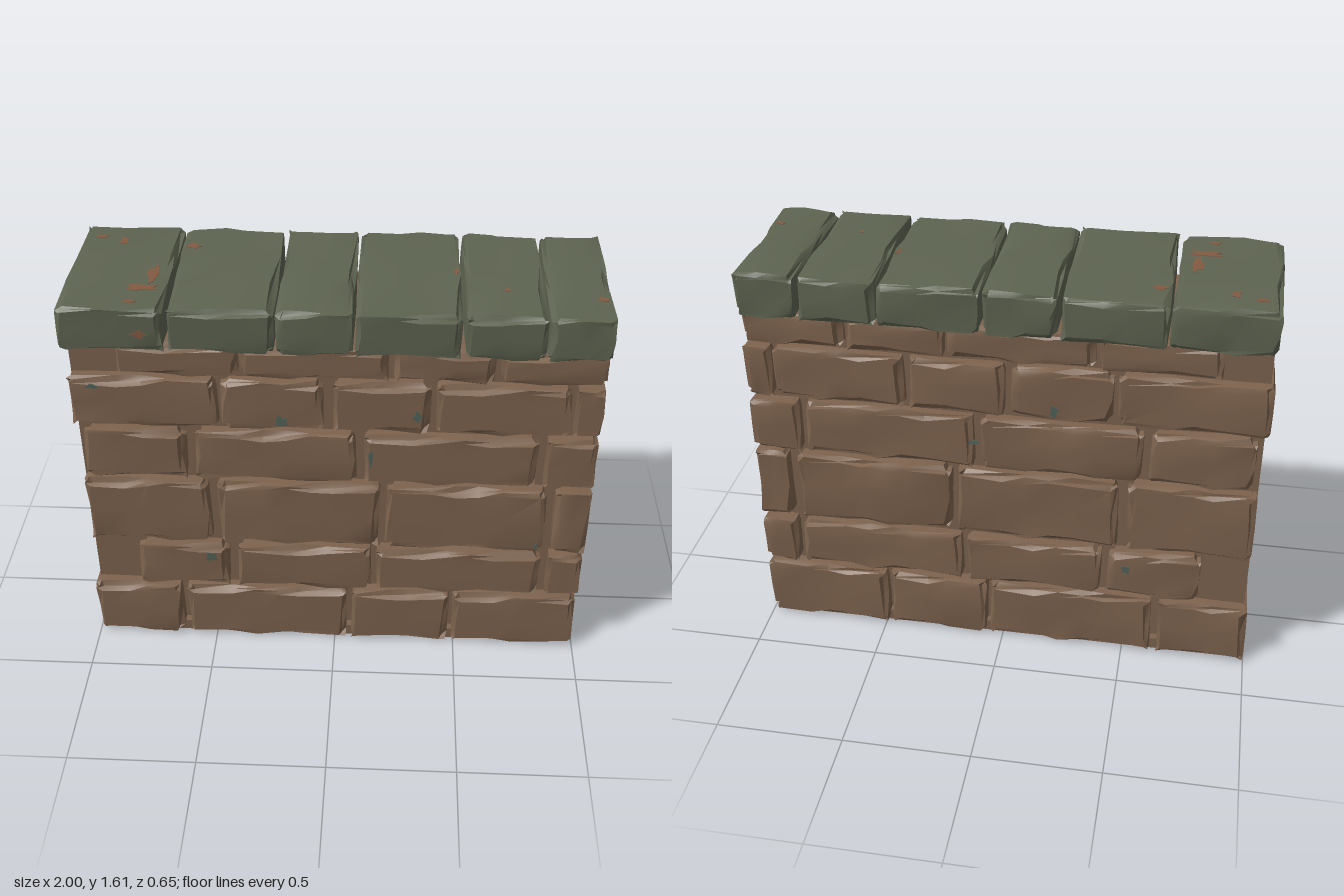
import * as THREE from 'three';
import { toCreasedNormals } from 'three/addons/utils/BufferGeometryUtils.js';

const material = (name, color) => new THREE.MeshStandardMaterial({ name, color });

// Rough-hewn block: chamfered box with chipped edges and gently uneven faces.
function stoneGeometry(x0, x1, y0, y1, depth, seed, chamfer) {
  const size = [x1 - x0, y1 - y0, depth];
  const segs = [Math.max(5, Math.round(size[0] / 0.09)), 4, 6];
  const g = new THREE.BoxGeometry(...size, ...segs);
  const p = g.attributes.position;
  for (let i = 0; i < p.count; i++) {
    const v = [p.getX(i), p.getY(i), p.getZ(i)];
    const base = v.slice();
    const atEnd = v.map((c, k) => Math.abs(Math.abs(c) - size[k] / 2) < 1e-4);
    const onEdge = atEnd.filter(Boolean).length > 1;
    const wave = (a, b, c) => Math.sin(base[0] * a + base[1] * b + base[2] * c + seed * 2.37);
    for (let k = 0; k < 3; k++) {
      const half = size[k] / 2, sign = Math.sign(base[k]);
      const step = size[k] / segs[k];
      if (atEnd[k]) {
        // pull edges in by a varying amount, faces only slightly
        const pull = onEdge
          ? chamfer * (0.6 + 0.4 * wave(17 + k, 23, 14 - k))
          : 0.004 + 0.004 * wave(9, 13 + k, 8);
        v[k] = sign * (half - pull);
      } else if (Math.abs(Math.abs(base[k]) - (half - step)) < 1e-4) {
        v[k] = sign * (half - chamfer * (1.1 + 0.3 * wave(21, 15, 19 + k)));
      }
    }
    p.setXYZ(i, v[0] + (x0 + x1) / 2, v[1] + (y0 + y1) / 2, v[2]);
  }
  return toCreasedNormals(g, 0.5);
}

// Irregular thin patch outline
function patchGeometry(w, h, seed) {
  const pts = [];
  for (let i = 0; i < 10; i++) {
    const a = i / 10 * Math.PI * 2, r = 0.75 + 0.25 * Math.sin(i * 2.3 + seed * 1.9);
    pts.push(new THREE.Vector2(Math.cos(a) * w * r, Math.sin(a) * h * r));
  }
  const g = new THREE.ExtrudeGeometry(new THREE.Shape(pts), { depth: 0.006, bevelEnabled: false });
  return g.translate(0, 0, -0.004);
}

export function createModel() {
  const model = new THREE.Group();
  model.name = 'stoneWall';
  const brown = material('brownStone', 0x7d634e);
  const green = material('mossyGreenStone', 0x5e6451);
  const rust = material('rustStain', 0x845a42);
  const teal = material('tealLichen', 0x51645a);
  const stones = [];
  const add = (name, geometry, mat) => {
    const mesh = new THREE.Mesh(geometry, mat);
    mesh.name = name;
    model.add(mesh);
    return mesh;
  };

  // Solid core behind the joints
  add('wallCore', new THREE.BoxGeometry(1.965, 1.44, 0.5).translate(0, 0.72, 0), brown);
  add('wallFoot', new THREE.BoxGeometry(1.965, 0.05, 0.56).translate(0, 0.025, 0), brown);

  // Courses: bottom, top, depth, then start and end of each stone along x
  const courses = [
    [0.005, 0.27, 0.63, [[-1, -0.635], [-0.615, 0.055], [0.065, 0.475], [0.485, 1]]],
    [0.28, 0.495, 0.625, [[-0.8, -0.425], [-0.4, 0.15], [0.165, 0.835], [0.855, 1]]],
    [0.515, 0.82, 0.625, [[-0.985, -0.49], [-0.46, 0.18], [0.2, 0.83], [0.86, 1]]],
    [0.83, 1.06, 0.61, [[-0.965, -0.565], [-0.54, 0.085], [0.11, 0.78], [0.8, 1]]],
    [1.075, 1.295, 0.61, [[-1, -0.435], [-0.425, -0.035], [-0.01, 0.36], [0.375, 0.885], [0.89, 1]]],
    [1.305, 1.445, 0.605, [[-0.81, -0.355], [-0.35, 0.205], [0.215, 0.59], [0.6, 0.995]]],
  ];
  let seed = 1;
  courses.forEach(([y0, y1, depth, spans], row) => {
    for (const [x0, x1] of spans) {
      const wide = x1 - x0 > 0.2;
      stones.push(add(`courseStone${row + 1}`,
        stoneGeometry(x0, x1, y0, y1, depth, seed++, wide ? 0.026 : 0.02), brown));
    }
  });

  // Row of cap stones
  const caps = [[-1, -0.61], [-0.605, -0.215], [-0.21, 0.07], [0.075, 0.46], [0.465, 0.76], [0.765, 1]];
  for (const [x0, x1] of caps) {
    stones.push(add('capStone', stoneGeometry(x0, x1, 1.425, 1.604, 0.65, seed++, 0.022), green));
  }

  // Stains laid on whichever stone surface lies under them
  const ray = new THREE.Raycaster();
  const stain = (name, mat, from, dir, w, h) => {
    ray.set(new THREE.Vector3(...from), new THREE.Vector3(...dir));
    const hit = ray.intersectObjects(stones)[0];
    if (!hit) return;
    const mesh = add(name, patchGeometry(w, h, seed++), mat);
    mesh.position.copy(hit.point);
    mesh.quaternion.setFromUnitVectors(new THREE.Vector3(0, 0, 1), hit.face.normal);
  };
  const topStains = [
    [-0.92, -0.22, 0.035, 0.015], [-0.83, -0.19, 0.02, 0.035], [-0.56, -0.17, 0.035, 0.025],
    [-0.68, 0.05, 0.03, 0.08], [-0.71, 0.15, 0.075, 0.03], [-0.74, 0.25, 0.03, 0.015],
    [0.44, -0.02, 0.012, 0.03], [0.62, 0.12, 0.014, 0.014], [0.96, 0.16, 0.025, 0.02],
  ];
  for (const [x, z, w, h] of topStains) stain('rustPatch', rust, [x, 3, z], [0, -1, 0], w, h);
  stain('rustPatch', rust, [-0.7, 1.5, 3], [0, 0, -1], 0.035, 0.02);
  stain('rustPatch', rust, [3, 1.56, 0.12], [-1, 0, 0], 0.025, 0.02);
  const frontLichen = [
    [-0.2, 1.12, 0.03, 0.03], [0.31, 1.16, 0.02, 0.03], [0.14, 0.96, 0.012, 0.05],
    [-0.5, 0.44, 0.03, 0.03], [-0.9, 1.26, 0.03, 0.012], [0.8, 0.55, 0.012, 0.02],
  ];
  for (const [x, y, w, h] of frontLichen) stain('lichenPatch', teal, [x, y, 3], [0, 0, -1], w, h);
  const backLichen = [[0.12, 0.94, 0.012, 0.04], [-0.2, 1.12, 0.03, 0.02], [-0.5, 0.42, 0.025, 0.025]];
  for (const [x, y, w, h] of backLichen) stain('lichenPatch', teal, [x, y, -3], [0, 0, 1], w, h);

  return model;
}
